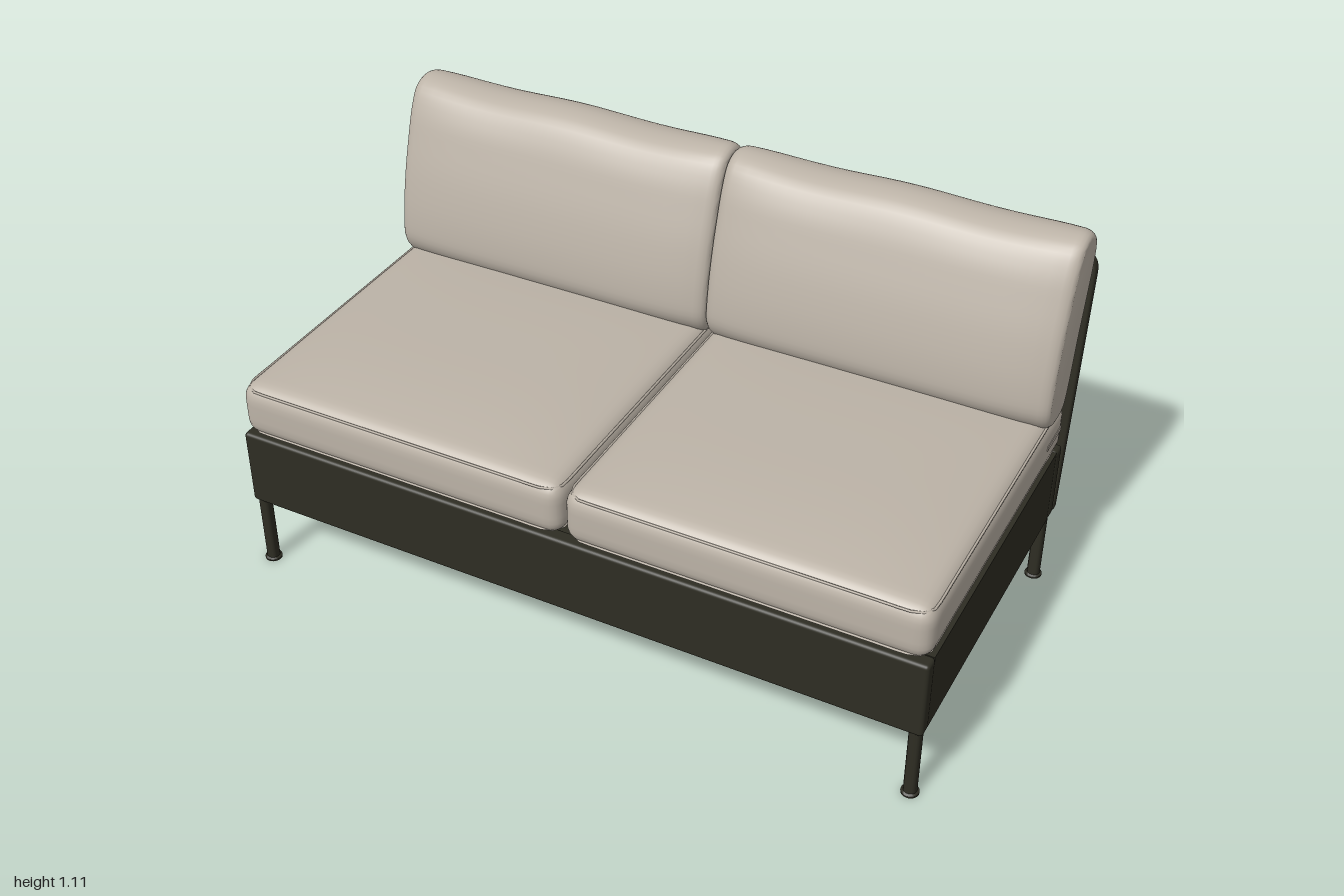
import * as THREE from 'three';
import { mergeVertices, toCreasedNormals } from 'three/addons/utils/BufferGeometryUtils.js';
import { RoundedBoxGeometry } from 'three/addons/geometries/RoundedBoxGeometry.js';

const fabric = new THREE.MeshStandardMaterial({ color: 0xbcb3a7 });
fabric.name = 'warmGreyFabric';
const dark = new THREE.MeshStandardMaterial({ color: 0x2e2d23 });
dark.name = 'darkOliveFrame';

function add(parent, name, geometry, material, x = 0, y = 0, z = 0) {
  const mesh = new THREE.Mesh(geometry, material);
  mesh.name = name;
  mesh.position.set(x, y, z);
  parent.add(mesh);
  return mesh;
}

// Move every vertex of a geometry by a rule
function reshape(geometry, rule) {
  const p = geometry.attributes.position;
  const v = new THREE.Vector3();
  for (let i = 0; i < p.count; i++) {
    v.fromBufferAttribute(p, i);
    rule(v);
    p.setXYZ(i, v.x, v.y, v.z);
  }
  return geometry;
}

// Soft block with rounded edges and a crowned top
function seatCushionGeometry(w, h, d, r, crown) {
  const g = new THREE.BoxGeometry(2, 2, 2, 36, 12, 36);
  g.deleteAttribute('uv');
  g.deleteAttribute('normal');
  const half = new THREE.Vector3(w / 2, h / 2, d / 2);
  const inner = half.clone().subScalar(r);
  const core = new THREE.Vector3();
  reshape(g, (v) => {
    const ease = (t) => Math.sin((t * Math.PI) / 2);
    v.set(ease(v.x), ease(v.y), ease(v.z)).multiply(half);
    core.copy(v).clamp(inner.clone().negate(), inner);
    v.sub(core).setLength(r).add(core);
    const u = v.x / half.x, s = v.z / half.z;
    const lift = Math.max(0, v.y / half.y);
    v.y += crown * lift * (1 - u ** 4) * (1 - Math.abs(s) ** 3);
  });
  const merged = mergeVertices(g, 1e-5);
  merged.computeVertexNormals();
  return merged;
}

// Side profile (z, y) of the leaning back cushion, swept across its width
function backCushionGeometry(w) {
  const profile = [
    [-0.228, 0.64], [-0.265, 0.593], [-0.34, 0.577], [-0.405, 0.59], [-0.432, 0.635],
    [-0.465, 0.78], [-0.5, 0.9], [-0.524, 1.0], [-0.518, 1.055], [-0.48, 1.09],
    [-0.42, 1.104], [-0.355, 1.085], [-0.315, 1.03], [-0.284, 0.95], [-0.25, 0.84], [-0.226, 0.71],
  ].map(([z, y]) => new THREE.Vector3(-z, y, 0));
  const loop = new THREE.CatmullRomCurve3(profile, true).getPoints(64).slice(0, -1);
  const bevel = 0.03;
  const g = new THREE.ExtrudeGeometry(new THREE.Shape(loop.map((p) => new THREE.Vector2(p.x, p.y))), {
    depth: w - 2 * bevel, steps: 24, bevelThickness: bevel, bevelSize: 0.018, bevelOffset: -0.018, bevelSegments: 4,
  });
  g.deleteAttribute('uv');
  g.translate(0, 0, bevel - w / 2);
  g.rotateY(Math.PI / 2);
  reshape(g, (v) => {
    const u = (2 * v.x) / w;
    // axis of the leaning cushion at this height
    const axis = -0.33 - 0.19 * (v.y - 0.6);
    v.z = axis + (v.z - axis) * (1 - 0.2 * Math.abs(u) ** 6);
    if (v.y > 1) v.y += 0.004 * Math.cos(u * Math.PI * 2) * ((v.y - 1) / 0.1);
  });
  return toCreasedNormals(g, 0.7);
}

// Thin stitched seam following a rounded rectangle
function seamGeometry(w, d, r) {
  const s = new THREE.Shape();
  const x = w / 2, y = d / 2;
  s.moveTo(-x + r, -y).lineTo(x - r, -y).quadraticCurveTo(x, -y, x, -y + r);
  s.lineTo(x, y - r).quadraticCurveTo(x, y, x - r, y);
  s.lineTo(-x + r, y).quadraticCurveTo(-x, y, -x, y - r);
  s.lineTo(-x, -y + r).quadraticCurveTo(-x, -y, -x + r, -y);
  const pts = s.getSpacedPoints(80).slice(0, -1).map((p) => new THREE.Vector3(p.x, 0, p.y));
  return new THREE.TubeGeometry(new THREE.CatmullRomCurve3(pts, true), 120, 0.0035, 6, true);
}

// Back panel with rounded upper corners, leaning backwards
function backPanelGeometry(w) {
  const h = 0.775, r = 0.06, e = 0.006, x = w / 2 - e;
  const s = new THREE.Shape();
  s.moveTo(-x, e).lineTo(x, e).lineTo(x, h - r);
  s.quadraticCurveTo(x, h - e, x - r, h - e).lineTo(-x + r, h - e);
  s.quadraticCurveTo(-x, h - e, -x, h - r).lineTo(-x, e);
  const g = new THREE.ExtrudeGeometry(s, {
    depth: 0.022, bevelThickness: e, bevelSize: e, bevelSegments: 3, curveSegments: 10,
  });
  g.translate(0, 0, e - 0.034);
  reshape(g, (v) => { v.z -= v.y * 0.117; });
  return toCreasedNormals(g, 0.6);
}

export function createModel() {
  const sofa = new THREE.Group();
  sofa.name = 'armlessSofa';

  // Base: front and rear rails, side rails and the deck between them
  const base = new THREE.Group();
  base.name = 'base';
  sofa.add(base);
  const rail = new RoundedBoxGeometry(1.994, 0.23, 0.045, 3, 0.01);
  add(base, 'frontRail', rail, dark, 0, 0.33, 0.5325);
  add(base, 'rearRail', rail, dark, 0, 0.33, -0.4075);
  for (const side of [-1, 1]) {
    add(base, 'sideRail', new THREE.BoxGeometry(0.04, 0.228, 0.9), dark, side * 0.975, 0.33, 0.0625);
  }
  add(base, 'seatDeck', new THREE.BoxGeometry(1.92, 0.03, 0.9), dark, 0, 0.415, 0.0625);

  // Legs with a small flared foot
  const legProfile = [[0, 0], [0.024, 0], [0.024, 0.005], [0.018, 0.009], [0.018, 0.23], [0, 0.23]]
    .map(([x, y]) => new THREE.Vector2(x, y));
  const leg = toCreasedNormals(new THREE.LatheGeometry(legProfile, 24), 0.6);
  for (const x of [-0.974, 0.974]) {
    for (const z of [0.532, -0.403]) add(sofa, 'leg', leg, dark, x, 0, z);
  }

  // Back panels and the brackets holding them to the base
  const panel = backPanelGeometry(0.995);
  for (const side of [-1, 1]) {
    add(sofa, 'backPanel', panel, dark, side * 0.4985, 0.215, -0.431);
    for (const x of [0.085, 0.875]) {
      add(sofa, 'bracket', new THREE.BoxGeometry(0.04, 0.006, 0.08), dark, side * x, 0.213, -0.42);
    }
  }

  // Seat and back cushions, one pair for each place
  const seat = seatCushionGeometry(0.992, 0.158, 0.985, 0.045, 0.027);
  const seam = seamGeometry(0.972, 0.965, 0.05);
  const back = backCushionGeometry(0.994);
  for (const side of [-1, 1]) {
    const place = new THREE.Group();
    place.name = side > 0 ? 'leftCushions' : 'rightCushions';
    place.position.x = side * 0.4985;
    sofa.add(place);
    add(place, 'seatCushion', seat, fabric, 0, 0.525, 0.0625);
    add(place, 'upperSeam', seam, fabric, 0, 0.591, 0.0625);
    add(place, 'lowerSeam', seam, fabric, 0, 0.459, 0.0625);
    add(place, 'backCushion', back, fabric);
    // Zip flap on the outer side of the seat cushion
    add(place, 'zipFlap', new THREE.BoxGeometry(0.004, 0.014, 0.11), fabric, side * 0.496, 0.528, -0.335);
  }
  return sofa;
}
